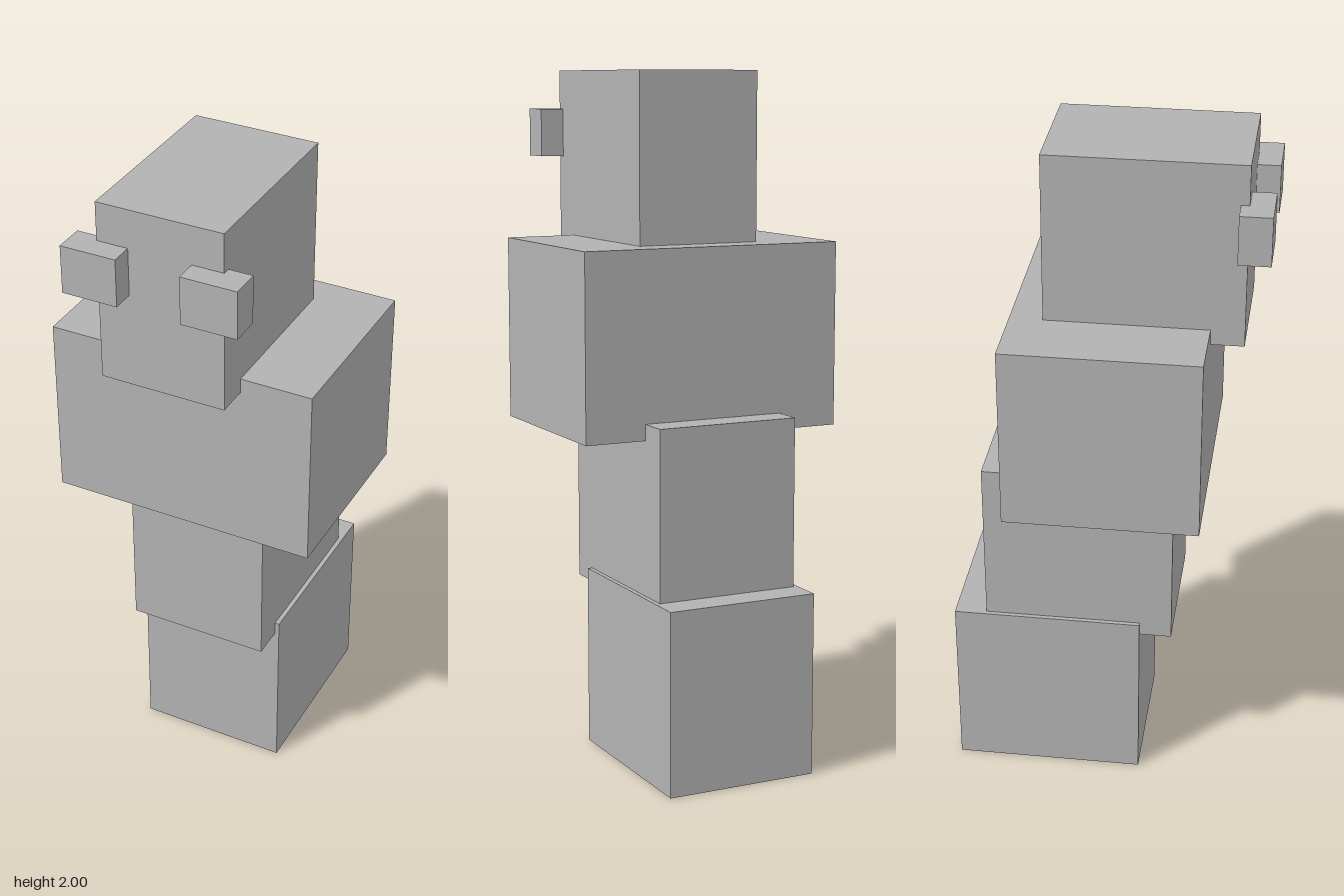
import * as THREE from 'three';

export function createModel() {
  const model = new THREE.Group();
  model.name = 'blockFigure';

  const grey = new THREE.MeshStandardMaterial({ color: 0xb2b2b2 });
  grey.name = 'plain grey';

  // Box given by its width, height, depth and centre
  function block(name, [w, h, d], [x, y, z]) {
    const mesh = new THREE.Mesh(new THREE.BoxGeometry(w, h, d), grey);
    mesh.name = name;
    mesh.position.set(x, y, z);
    model.add(mesh);
  }

  // Stacked body, each block stepping forward and overlapping the one below
  const height = 0.534, depth = 0.557;
  block('base', [0.454, height, depth], [0, 0.267, -0.172]);
  block('waist', [0.427, height, depth], [0, 0.76, -0.078]);
  block('chest', [0.79, height, depth], [0, 1.247, 0.012]);
  block('head', [0.37, 0.53, depth], [0, 1.735, 0.106]);

  // Eyes straddling the front edges of the head
  for (const [side, sign] of [['left', 1], ['right', -1]]) {
    block(side + 'Eye', [0.163, 0.14, 0.09], [sign * 0.174, 1.817, 0.406]);
  }

  return model;
}
